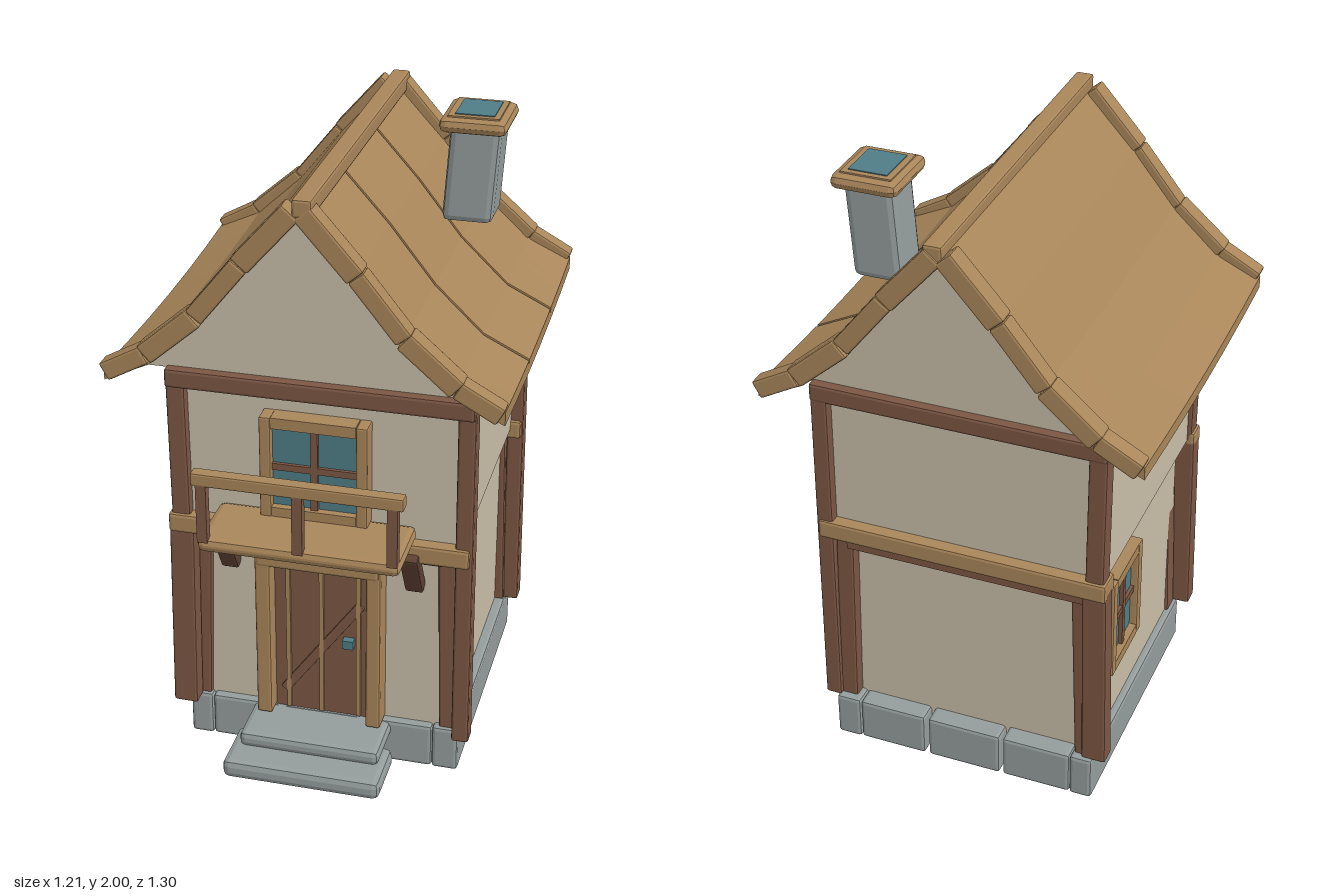
import * as THREE from 'three';
import { RoundedBoxGeometry } from 'three/addons/geometries/RoundedBoxGeometry.js';

const material = (name, color) => {
  const m = new THREE.MeshStandardMaterial({ color });
  m.name = name;
  return m;
};

export function createModel() {
  const plaster = material('plaster', 0xc8bea8);
  const tan = material('tan wood', 0xa9865a);
  const brown = material('red brown wood', 0x7c5744);
  const dark = material('dark wood', 0x5e4034);
  const stone = material('stone', 0x949d9c);
  const teal = material('teal glass', 0x4f7d86);

  const house = new THREE.Group();
  house.name = 'house';

  const add = (name, geometry, mat, parent = house) => {
    const mesh = new THREE.Mesh(geometry, mat);
    mesh.name = name;
    parent.add(mesh);
    return mesh;
  };
  const bevelled = (w, h, d, r) => {
    const g = new RoundedBoxGeometry(w, h, d, 1, r);
    g.computeVertexNormals();
    return g;
  };
  // box given by its extents; r is the bevel
  const box = (name, mat, [x0, x1], [y0, y1], [z0, z1], r = 0, parent = house) => {
    const size = [x1 - x0, y1 - y0, z1 - z0];
    const g = r ? bevelled(...size, r) : new THREE.BoxGeometry(...size);
    const mesh = add(name, g, mat, parent);
    mesh.position.set((x0 + x1) / 2, (y0 + y1) / 2, (z0 + z1) / 2);
    return mesh;
  };
  // straight timber from point a to point b
  const beam = (name, mat, a, b, w, d, r = 0.008) => {
    const from = new THREE.Vector3(...a), to = new THREE.Vector3(...b);
    const dir = to.clone().sub(from);
    const mesh = add(name, bevelled(w, dir.length(), d, r), mat);
    mesh.position.copy(from).add(to).multiplyScalar(0.5);
    mesh.quaternion.setFromUnitVectors(new THREE.Vector3(0, 1, 0), dir.normalize());
    return mesh;
  };

  // stone base: hollow ring of blocks
  box('baseSide', stone, [0.375, 0.46], [0, 0.155], [-0.52, 0.38], 0.012);
  box('baseSide', stone, [-0.43, -0.355], [0, 0.155], [-0.52, 0.38], 0.012);
  for (const [x0, x1] of [[-0.355, -0.125], [-0.115, 0.135], [0.147, 0.375]]) {
    box('baseFront', stone, [x0, x1], [0, 0.152], [0.29, 0.378], 0.012);
    box('baseBack', stone, [x0, x1], [0, 0.152], [-0.518, -0.43], 0.012);
  }

  // steps
  box('lowerStep', stone, [-0.245, 0.265], [0.035, 0.1], [0.44, 0.645], 0.022);
  box('upperStep', stone, [-0.215, 0.24], [0.095, 0.147], [0.33, 0.55], 0.018);

  // walls
  box('lowerWall', plaster, [-0.405, 0.425], [0.1, 0.83], [-0.455, 0.35]);
  box('upperWall', plaster, [-0.435, 0.455], [0.825, 1.36], [-0.475, 0.4]);

  // corner posts, tall outer ones and short inner ones
  beam('cornerPost', brown, [0.475, 0.15, 0.4], [0.47, 1.35, 0.4], 0.055, 0.06);
  beam('cornerPost', brown, [0.475, 0.15, -0.475], [0.465, 1.35, -0.475], 0.055, 0.065);
  for (const z of [0.4, -0.475]) {
    beam('lowerCornerPost', brown, [-0.43, 0.15, z], [-0.42, 0.82, z], 0.08, 0.062);
    beam('upperCornerPost', brown, [-0.42, 0.82, z], [-0.425, 1.33, z], 0.06, 0.06);
  }
  for (const z of [0.335, -0.46]) {
    beam('innerPost', brown, [0.425, 0.15, z], [0.41, 0.81, z], 0.06, 0.068);
    beam('innerPost', brown, [-0.39, 0.15, z], [-0.37, 0.81, z], 0.055, 0.068);
  }

  // horizontal beams front and back
  box('frontFloorBeam', tan, [-0.46, 0.49], [0.79, 0.855], [0.37, 0.44], 0.01);
  box('frontLowBeam', brown, [-0.4, 0.4], [0.765, 0.795], [0.34, 0.395]);
  box('frontTopBeam', brown, [-0.455, 0.495], [1.29, 1.352], [0.37, 0.44], 0.01);
  box('backFloorBeam', tan, [-0.46, 0.49], [0.79, 0.855], [-0.515, -0.43], 0.01);
  box('backLowBeam', brown, [-0.4, 0.4], [0.76, 0.795], [-0.5, -0.45]);
  box('backTopBeam', brown, [-0.455, 0.495], [1.29, 1.352], [-0.51, -0.45], 0.01);

  // door
  box('doorPanel', brown, [-0.145, 0.17], [0.15, 0.7], [0.34, 0.37]);
  box('doorJamb', tan, [-0.19, -0.14], [0.15, 0.73], [0.34, 0.425], 0.008);
  box('doorJamb', tan, [0.167, 0.215], [0.15, 0.73], [0.34, 0.425], 0.008);
  box('doorLintel', tan, [-0.185, 0.21], [0.7, 0.77], [0.34, 0.43], 0.01);
  for (const x of [-0.095, 0.013, 0.133])
    box('doorStrip', tan, [x - 0.007, x + 0.007], [0.155, 0.685], [0.365, 0.38]);
  beam('doorBrace', brown, [-0.11, 0.22, 0.373], [0.14, 0.57, 0.373], 0.03, 0.01, 0.002);
  box('doorHandle', teal, [0.085, 0.12], [0.415, 0.445], [0.365, 0.395]);

  // windows, built facing +z around their own centre
  const windowAt = (name, w, h, position, turn) => {
    const g = new THREE.Group();
    g.name = name;
    const x = w / 2, y = h / 2, t = 0.036;
    for (const s of [-1, 1]) {
      box('frameSide', tan, [s * (x - t / 2) - t / 2, s * (x - t / 2) + t / 2], [-y, y], [-0.03, 0.035], 0.006, g);
      box('frameRail', tan, [-x + t, x - t], [s * (y - t / 2) - t / 2, s * (y - t / 2) + t / 2], [-0.03, 0.033], 0, g);
    }
    box('glass', teal, [-x + t, x - t], [-y + t, y - t], [0.001, 0.009], 0, g);
    box('verticalBar', brown, [-0.011, 0.011], [-y + t, y - t], [0, 0.022], 0, g);
    box('crossBar', brown, [-x + t, x - t], [-0.011, 0.011], [0, 0.02], 0, g);
    g.position.set(...position);
    g.rotation.y = turn;
    house.add(g);
  };
  windowAt('frontWindow', 0.335, 0.34, [0.012, 1.07, 0.425], 0);
  windowAt('sideWindow', 0.27, 0.36, [-0.41, 0.575, -0.24], -Math.PI / 2);

  // balcony
  box('balconyFloor', tan, [-0.3, 0.322], [0.858, 0.905], [0.4, 0.645], 0.02);
  box('balconyRail', tan, [-0.31, 0.334], [1.088, 1.13], [0.61, 0.652], 0.006);
  for (const x of [-0.28, 0.013, 0.3])
    box('balconyPost', brown, [x - 0.016, x + 0.016], [0.895, 1.092], [0.617, 0.647]);
  for (const x of [-0.285, 0.308])
    beam('balconyBracket', dark, [x, 0.655, 0.35], [x, 0.82, 0.445], 0.058, 0.045);

  // roof: curved slope line from ridge to eave
  const slope = [[0, 1.95], [0.17, 1.765], [0.31, 1.59], [0.46, 1.45], [0.6, 1.385]];
  const zBack = -0.62, zFront = 0.545;
  const slab = (name, side, top, bottom, z0, z1) => {
    const outline = [
      ...slope.map(([x, y]) => new THREE.Vector2(side * x, y + top)),
      ...slope.map(([x, y]) => new THREE.Vector2(side * x, y + bottom)).reverse(),
    ];
    const g = new THREE.ExtrudeGeometry(new THREE.Shape(outline), { depth: z1 - z0, steps: 6, bevelEnabled: false });
    g.translate(0, 0, z0);
    // sag the eave towards the middle of its length
    const p = g.attributes.position;
    for (let i = 0; i < p.count; i++) {
      const u = (p.getZ(i) - (zBack + zFront) / 2) / ((zFront - zBack) / 2);
      p.setY(i, p.getY(i) - 0.02 * (1 - u * u) * Math.abs(p.getX(i)) / 0.6);
    }
    g.computeVertexNormals();
    add(name, g, tan);
  };
  slab('leftRoofSlope', 1, -0.004, -0.035, zBack, zFront);
  slab('rightRoofSlope', -1, 0.006, -0.035, zBack, zFront);
  for (const [z0, z1] of [[zBack, -0.236], [-0.224, 0.149], [0.161, zFront]])
    slab('roofPanel', 1, 0.008, -0.006, z0, z1);

  // gable filling under the roof
  const under = slope.slice(0, 4).map(([x, y]) => [x, y - 0.03]).concat([[0.565, 1.37], [0.565, 1.346]]);
  const gable = new THREE.Shape([
    ...under.map(([x, y]) => new THREE.Vector2(x, y)),
    ...under.slice(1).reverse().map(([x, y]) => new THREE.Vector2(-x, y)),
  ]);
  add('gable', new THREE.ExtrudeGeometry(gable, { depth: 0.89, bevelEnabled: false }), plaster).position.z = -0.48;

  // edge boards along both gable ends
  const edge = [[0.015, 1.945], [0.17, 1.768], [0.31, 1.592], [0.465, 1.457], [0.592, 1.387]];
  for (const z of [0.545, -0.62])
    for (const s of [-1, 1])
      for (let i = 0; i < 4; i++) {
        const [ax, ay] = edge[i], [bx, by] = edge[i + 1];
        beam('roofEdgeBoard', tan, [s * ax, ay, z], [s * bx, by, z], i % 2 ? 0.06 : 0.066, i % 2 ? 0.058 : 0.063);
      }
  beam('ridgeBeam', tan, [0.017, 1.957, 0.575], [0.017, 1.95, -0.645], 0.058, 0.055);

  // chimney, leaning a little
  const shaft = bevelled(0.16, 0.32, 0.15, 0.022);
  const p = shaft.attributes.position;
  for (let i = 0; i < p.count; i++) p.setX(i, p.getX(i) + p.getY(i) * 0.07);
  shaft.computeVertexNormals();
  add('chimneyShaft', shaft, stone).position.set(0.34, 1.808, -0.267);
  box('chimneyCap', tan, [0.24, 0.452], [1.945, 1.992], [-0.388, -0.153], 0.023);
  box('chimneyRim', tan, [0.265, 0.425], [1.98, 1.997], [-0.36, -0.182]);
  box('chimneyTop', teal, [0.285, 0.407], [1.993, 2.0], [-0.342, -0.2]);

  return house;
}
